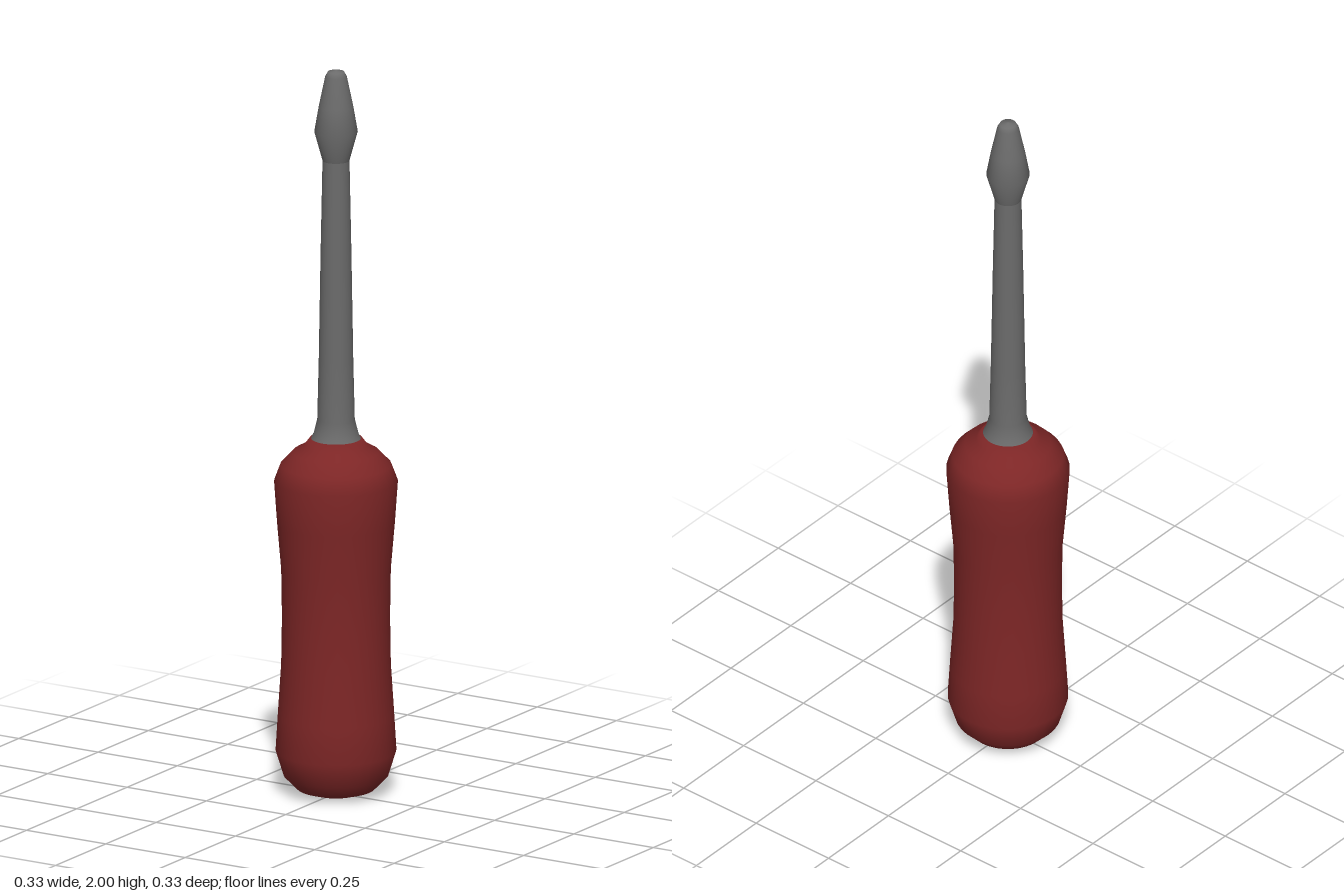
import * as THREE from 'three';

const SIDES = 32;

// Revolve a [radius, height] profile, listed from bottom to top
function turned(name, profile, material) {
  const points = profile.map(([r, y]) => new THREE.Vector2(r, y));
  const mesh = new THREE.Mesh(new THREE.LatheGeometry(points, SIDES), material);
  mesh.name = name;
  return mesh;
}

export function createModel() {
  const red = new THREE.MeshStandardMaterial({ color: 0x7d2626 });
  red.name = 'handle red';
  const steel = new THREE.MeshStandardMaterial({ color: 0x6b6b6b });
  steel.name = 'steel grey';

  const model = new THREE.Group();
  model.name = 'screwdriver';

  // Waisted grip with rounded ends
  model.add(turned('handle', [
    [0, 0], [0.065, 0.003], [0.105, 0.016], [0.14, 0.052], [0.161, 0.12],
    [0.155, 0.22], [0.146, 0.36], [0.144, 0.49], [0.146, 0.62],
    [0.157, 0.75], [0.165, 0.865], [0.148, 0.91], [0.115, 0.945],
    [0.085, 0.962], [0.07, 0.982], [0, 0.982],
  ], red));

  // Flared collar running into a tapered shaft
  model.add(turned('shaft', [
    [0.07, 0.975], [0.06, 0.995], [0.05, 1.035], [0.046, 1.2],
    [0.041, 1.5], [0.036, 1.75],
  ], steel));

  // Spindle-shaped tip
  model.add(turned('tip', [
    [0.036, 1.75], [0.058, 1.83], [0.046, 1.9], [0.029, 1.982],
    [0.022, 1.995], [0, 2],
  ], steel));

  return model;
}
